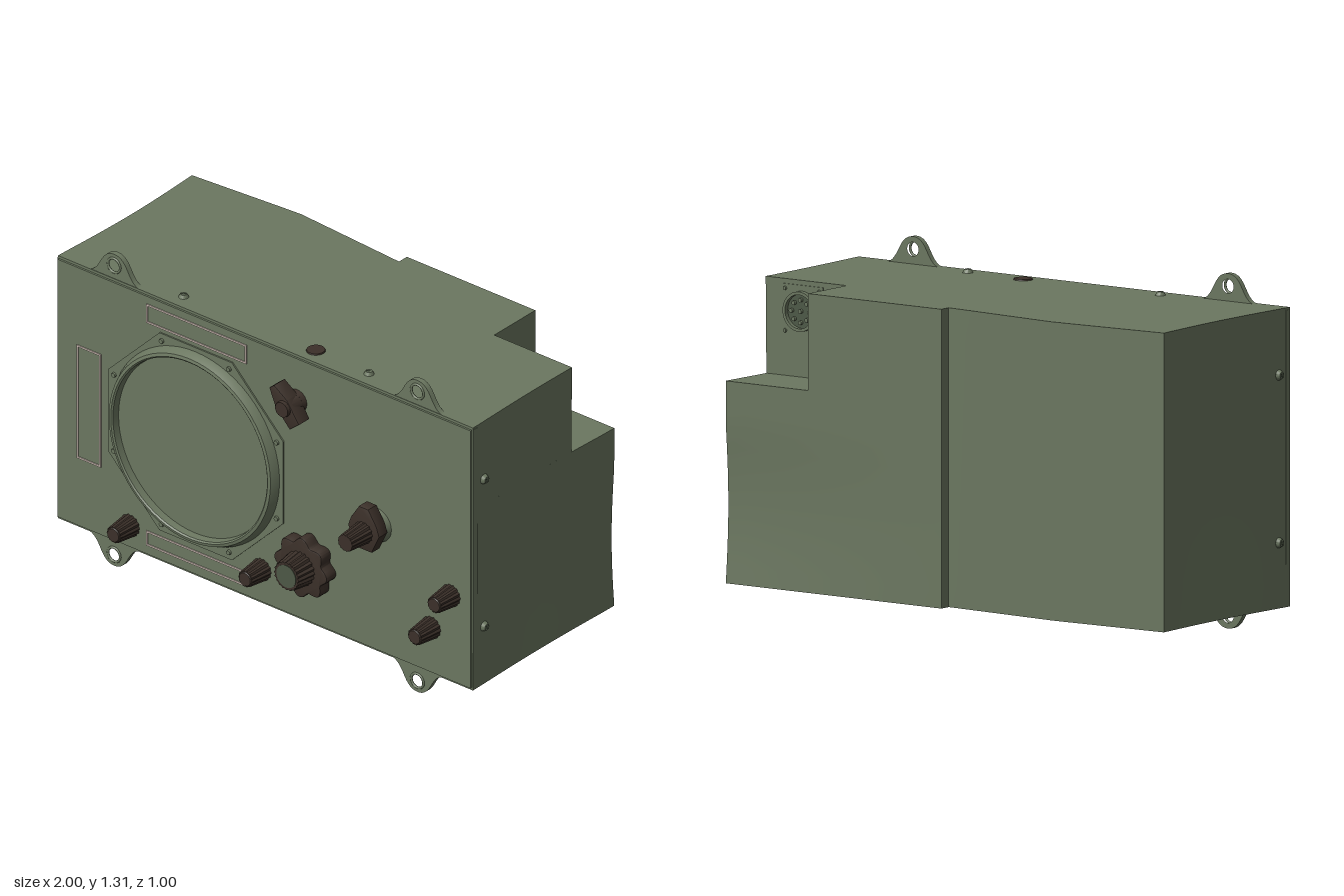
import * as THREE from 'three';
import { toCreasedNormals } from 'three/addons/utils/BufferGeometryUtils.js';

const mat = (name, color) => {
  const m = new THREE.MeshStandardMaterial({ color });
  m.name = name;
  return m;
};

export function createModel() {
  const root = new THREE.Group();
  const green = mat('olive green paint', 0x6b7760);
  const brown = mat('dark brown plastic', 0x3b3029);
  const pale = mat('pale pink outline', 0xc9b9b0);
  const dark = mat('dark green metal', 0x4d5846);

  const add = (name, geo, material, x = 0, y = 0, z = 0, parent = root) => {
    const m = new THREE.Mesh(geo, material);
    m.name = name;
    m.position.set(x, y, z);
    parent.add(m);
    return m;
  };
  const crease = (g, a = 0.5) => toCreasedNormals(g, a);
  // cylinder pointing to +z, starting at z = 0
  const peg = (rTop, rBase, h, n = 32) =>
    new THREE.CylinderGeometry(rTop, rBase, h, n).rotateX(Math.PI / 2).translate(0, 0, h / 2);
  const extrude = (shape, depth, bevel = 0) => crease(new THREE.ExtrudeGeometry(shape, {
    depth, curveSegments: 24, bevelEnabled: bevel > 0, bevelSize: bevel, bevelThickness: bevel, bevelSegments: 2,
  }));
  const circle = (r, x = 0, y = 0) => new THREE.Path().absarc(x, y, r, 0, Math.PI * 2, true);

  // --- case: blocks with slightly dented sides and a swollen back ---
  const bump = (v, a, b) => Math.sin(Math.PI * THREE.MathUtils.clamp((v - a) / (b - a), 0, 1));
  const slab = (name, x0, x1, y0, y1, z0, z1) => {
    const g = new THREE.BoxGeometry(x1 - x0, y1 - y0, z1 - z0, 12, 12, 12);
    g.translate((x0 + x1) / 2, (y0 + y1) / 2, (z0 + z1) / 2);
    const p = g.attributes.position;
    for (let i = 0; i < p.count; i++) {
      const x = p.getX(i), y = p.getY(i), z = p.getZ(i);
      if (Math.abs(x) > 0.98) {
        const depth = x < 0 ? 0.022 : 0.012;
        p.setX(i, x - Math.sign(x) * depth * bump(z, -0.46, 0.29) * (0.6 + 0.4 * bump(y, 0.11, 1.21)));
      }
      if (x0 < 0 && z < -0.44) {
        const t = 1 - Math.abs(x + 0.5) / 0.5;
        p.setZ(i, z - 0.038 * Math.max(0, t) * (0.65 + 0.35 * (y - 0.11) / 1.1));
      }
      if (x0 >= 0 && z < -0.49) p.setZ(i, z + 0.016 * bump(y, 0.1, 0.7) * Math.max(0, x));
    }
    add(name, crease(g), green);
  };
  slab('caseRightHalf', -0.985, 0, 0.107, 1.213, -0.45, 0.312);
  slab('caseLeftLower', 0, 0.985, 0.107, 0.855, -0.495, 0.312);
  slab('caseLeftUpper', 0, 0.61, 0.855, 1.213, -0.495, 0.312);
  slab('caseBehindNotch', 0.61, 0.985, 0.855, 1.213, -0.26, 0.312);

  // --- front panel ---
  add('frontPanel', new THREE.BoxGeometry(1.96, 1.085, 0.012), green, 0, 0.66, 0.314);

  // --- mounting ears ---
  const ear = new THREE.Shape();
  ear.moveTo(-0.125, -0.02);
  ear.lineTo(-0.125, 0);
  ear.bezierCurveTo(-0.06, 0.008, -0.07, 0.105, 0, 0.105);
  ear.bezierCurveTo(0.07, 0.105, 0.06, 0.008, 0.125, 0);
  ear.lineTo(0.125, -0.02);
  ear.holes.push(circle(0.026, 0, 0.058));
  const earGeo = extrude(ear, 0.022);
  for (const x of [-0.72, 0.72]) {
    add('topEar', earGeo, green, x, 1.21, 0.288);
    add('bottomEar', earGeo, green, x, 0.108, 0.288).rotation.z = Math.PI;
    for (const [y, s] of [[1.255, 1], [0.063, -1]]) {
      add('earGrommet', new THREE.TorusGeometry(0.029, 0.005, 8, 24), green, x, y + s * 0.013, 0.31);
    }
  }

  // --- round display in an octagonal plate ---
  const scope = new THREE.Group();
  scope.name = 'display';
  scope.position.set(-0.32, 0.66, 0.318);
  root.add(scope);
  const oct = new THREE.Shape();
  for (let i = 0; i < 8; i++) {
    const a = Math.PI / 8 + i * Math.PI / 4, r = 0.45;
    oct[i ? 'lineTo' : 'moveTo'](r * Math.cos(a), r * Math.sin(a));
  }
  add('octagonPlate', extrude(oct, 0.008), green, 0, 0, 0, scope);
  const rim = [[0.4, 0], [0.398, 0.012], [0.384, 0.042], [0.372, 0.045], [0.366, 0.04], [0.362, 0.008]];
  add('displayRim', crease(new THREE.LatheGeometry(rim.map(p => new THREE.Vector2(...p)), 64)
    .rotateX(Math.PI / 2), 0.4), green, 0, 0, 0, scope);
  add('displayScreen', peg(0.364, 0.364, 0.012, 64), green, 0, 0, 0, scope);
  for (let i = 0; i < 8; i++) {
    const a = Math.PI / 8 + i * Math.PI / 4;
    add('plateBolt', peg(0.009, 0.011, 0.016, 12), green, 0.418 * Math.cos(a), 0.418 * Math.sin(a), 0, scope);
  }

  // --- thin label outlines ---
  const outline = (x0, x1, y0, y1) => {
    const t = 0.007, s = new THREE.Shape();
    const rect = (p, a, b, c, d) => p.moveTo(a, c).lineTo(b, c).lineTo(b, d).lineTo(a, d).closePath();
    rect(s, x0, x1, y0, y1);
    const h = new THREE.Path();
    rect(h, x0 + t, x1 - t, y0 + t, y1 - t);
    s.holes.push(h);
    add('labelOutline', extrude(s, 0.005), pale, 0, 0, 0.319);
  };
  outline(-0.557, -0.082, 1.093, 1.172);
  outline(-0.888, -0.773, 0.402, 0.878);
  outline(-0.557, -0.082, 0.155, 0.217);

  // --- fluted, tapered knobs ---
  const fluted = (rTop, rBase, h, n) => {
    const g = peg(rTop, rBase, h, n * 4), p = g.attributes.position;
    for (let i = 0; i < p.count; i++) {
      const x = p.getX(i), y = p.getY(i);
      const k = 1 + 0.05 * Math.sign(Math.round(10 * Math.cos(n * Math.atan2(y, x))));
      p.setXY(i, x * k, y * k);
    }
    return crease(g, 0.25);
  };
  for (const [x, y] of [[-0.635, 0.21], [-0.01, 0.255], [0.795, 0.308], [0.888, 0.477]]) {
    add('smallKnob', fluted(0.032, 0.043, 0.096, 14), brown, x, y, 0.319);
    add('smallKnobCap', peg(0.026, 0.03, 0.004), brown, x, y, 0.414);
  }

  // large lobed tuning knob
  const lobes = new THREE.Shape();
  for (let i = 0; i <= 96; i++) {
    const a = i / 96 * Math.PI * 2, r = 0.109 + 0.011 * Math.cos(8 * a + 0.4);
    lobes[i ? 'lineTo' : 'moveTo'](r * Math.cos(a), r * Math.sin(a));
  }
  add('tuningKnobSkirt', extrude(lobes, 0.045, 0.006), brown, 0.22, 0.37, 0.327);
  add('tuningKnobGrip', fluted(0.056, 0.068, 0.09, 20), brown, 0.22, 0.37, 0.367);
  add('tuningKnobCap', peg(0.046, 0.046, 0.004), dark, 0.22, 0.37, 0.455);

  // two-stage selector knob
  const drop = new THREE.Shape();
  drop.moveTo(-0.02, 0.098);
  drop.lineTo(-0.058, 0.04);
  drop.lineTo(-0.07, 0.005);
  drop.lineTo(-0.035, -0.07);
  drop.lineTo(0.035, -0.07);
  drop.lineTo(0.07, 0.005);
  drop.lineTo(0.058, 0.04);
  drop.lineTo(0.02, 0.098);
  add('selectorSkirt', peg(0.062, 0.07, 0.03), green, 0.535, 0.645, 0.319);
  add('selectorPointer', extrude(drop, 0.042, 0.004), brown, 0.535, 0.645, 0.35);
  add('selectorGrip', fluted(0.033, 0.042, 0.105, 14), brown, 0.535, 0.645, 0.395);

  // pointer switch
  const pointer = new THREE.Group();
  pointer.name = 'pointerSwitch';
  pointer.position.set(0.158, 1.028, 0.319);
  pointer.rotation.z = 0.68;
  root.add(pointer);
  const bar = new THREE.Shape();
  [[-0.012, 0.088], [-0.032, 0.02], [-0.025, -0.075], [0.025, -0.075], [0.032, 0.02], [0.012, 0.088]]
    .forEach(([x, y], i) => bar[i ? 'lineTo' : 'moveTo'](x, y));
  add('switchShaft', peg(0.042, 0.045, 0.022), brown, 0, 0, 0, pointer);
  add('switchBar', extrude(bar, 0.055, 0.004), brown, 0, 0, 0.02, pointer);
  add('switchHub', crease(peg(0.03, 0.046, 0.092, 20)), brown, 0, 0, 0, pointer);

  // --- case screws with crossed slots ---
  const screw = (x, y, z, rx, ry) => {
    const g = new THREE.Group();
    g.name = 'caseScrew';
    g.position.set(x, y, z);
    g.rotation.set(rx, ry, 0);
    root.add(g);
    add('screwHead', crease(peg(0.013, 0.02, 0.014, 20)), green, 0, 0, 0, g);
    for (const a of [0.6, 0.6 + Math.PI / 2]) {
      add('screwSlot', new THREE.BoxGeometry(0.022, 0.004, 0.002), dark, 0, 0, 0.0142, g).rotation.z = a;
    }
  };
  for (const s of [-1, 1]) {
    for (const y of [0.35, 0.97]) screw(s * 0.984, y, 0.247, 0, s * Math.PI / 2);
    screw(s * 0.44, 1.212, 0.25, -Math.PI / 2, 0);
    screw(s * 0.44, 0.108, 0.25, Math.PI / 2, 0);
    // seam strip on each side
    add('sideSeam', new THREE.BoxGeometry(0.004, 0.94, 0.025), green, s * 0.985, 0.735, 0.299);
  }
  add('topPlug', peg(0.034, 0.036, 0.006), brown, 0.182, 1.212, 0.243).rotation.x = -Math.PI / 2;

  // --- socket in the rear notch ---
  const socket = new THREE.Group();
  socket.name = 'rearSocket';
  socket.position.set(0.81, 1.1, -0.26);
  socket.rotation.y = Math.PI;
  root.add(socket);
  add('socketPlate', new THREE.BoxGeometry(0.19, 0.19, 0.008), green, 0, 0, 0, socket);
  const ring = new THREE.Shape().absarc(0, 0, 0.074, 0, Math.PI * 2);
  ring.holes.push(circle(0.063));
  add('socketRing', extrude(ring, 0.025), green, 0, 0, 0, socket);
  add('socketFace', peg(0.063, 0.063, 0.008), dark, 0, 0, 0, socket);
  for (let i = 0; i < 9; i++) {
    const a = i * Math.PI / 4, r = i < 8 ? 0.042 : 0;
    add('socketPin', peg(0.008, 0.008, 0.02, 10), green, r * Math.cos(a), r * Math.sin(a), 0, socket);
  }
  for (const x of [-0.078, 0.078]) for (const y of [-0.078, 0.078]) {
    add('socketBolt', peg(0.007, 0.009, 0.009, 10), green, x, y, 0, socket);
  }
  return root;
}
